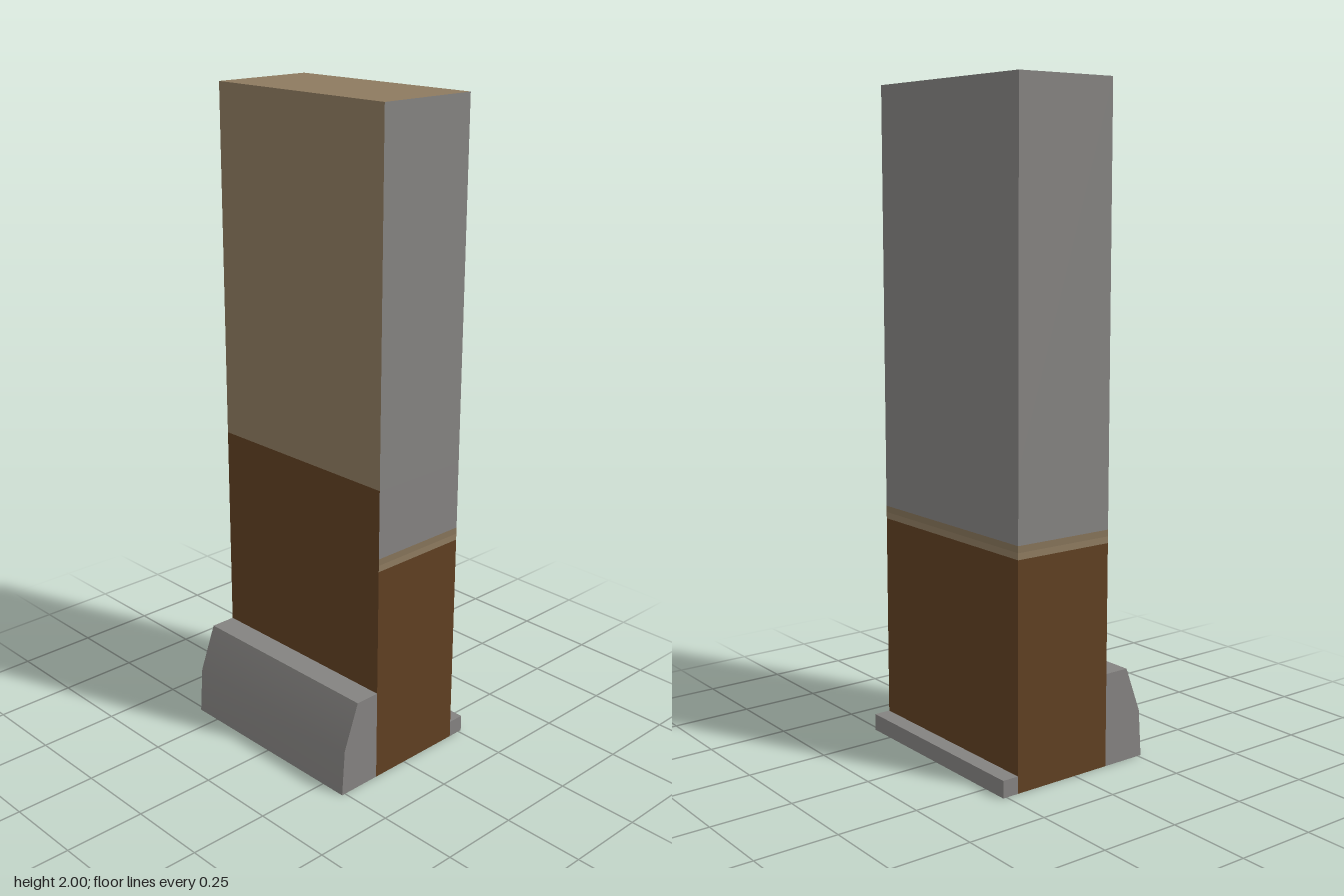
import * as THREE from 'three';
import { toCreasedNormals } from 'three/addons/utils/BufferGeometryUtils.js';

const X0 = -0.12, X1 = 0.21, DEPTH = 0.666;

function material(name, color) {
  const m = new THREE.MeshStandardMaterial({ color });
  m.name = name;
  return m;
}

export function createModel() {
  const model = new THREE.Group();
  model.name = 'wallSegment';

  const grey = material('concreteGrey', 0x848280);
  const tan = material('tan', 0x8d7a5f);
  const darkTan = material('darkTan', 0x857359);
  const brown = material('brown', 0x5f3f21);

  // Box between two x and two y values, running the full depth
  function block(name, x0, x1, y0, y1, mats) {
    const mesh = new THREE.Mesh(new THREE.BoxGeometry(x1 - x0, y1 - y0, DEPTH), mats);
    mesh.position.set((x0 + x1) / 2, (y0 + y1) / 2, 0);
    mesh.name = name;
    model.add(mesh);
  }

  // Stacked wall courses: one colour outside, another on the -x face
  const courses = [
    ['lowerWall', 0, 0.68, brown, brown],
    ['trimLower', 0.68, 0.70, tan, brown],
    ['trimUpper', 0.70, 0.72, darkTan, brown],
    ['middleWall', 0.72, 0.93, grey, brown],
    ['upperWall', 0.93, 2, grey, tan],
  ];
  for (const [name, y0, y1, outside, inside] of courses) {
    const top = y1 === 2 ? tan : outside;
    block(name, X0, X1, y0, y1, [outside, inside, top, outside, outside, outside]);
  }

  // Low ledge on the +x side, brown underneath
  block('ledge', X1, 0.262, 0, 0.052, [grey, grey, grey, brown, grey, grey]);

  // Sloped barrier on the -x side, softly rounded on its slope
  const profile = new THREE.Shape([
    [X0, 0], [X0, 0.285], [-0.2, 0.285], [-0.252, 0.145], [-0.262, 0],
  ].map(([x, y]) => new THREE.Vector2(x, y)));
  const geometry = new THREE.ExtrudeGeometry(profile, { depth: DEPTH, bevelEnabled: false });
  geometry.translate(0, 0, -DEPTH / 2);
  const barrier = new THREE.Mesh(toCreasedNormals(geometry, 0.6), grey);
  barrier.name = 'barrier';
  model.add(barrier);

  return model;
}
